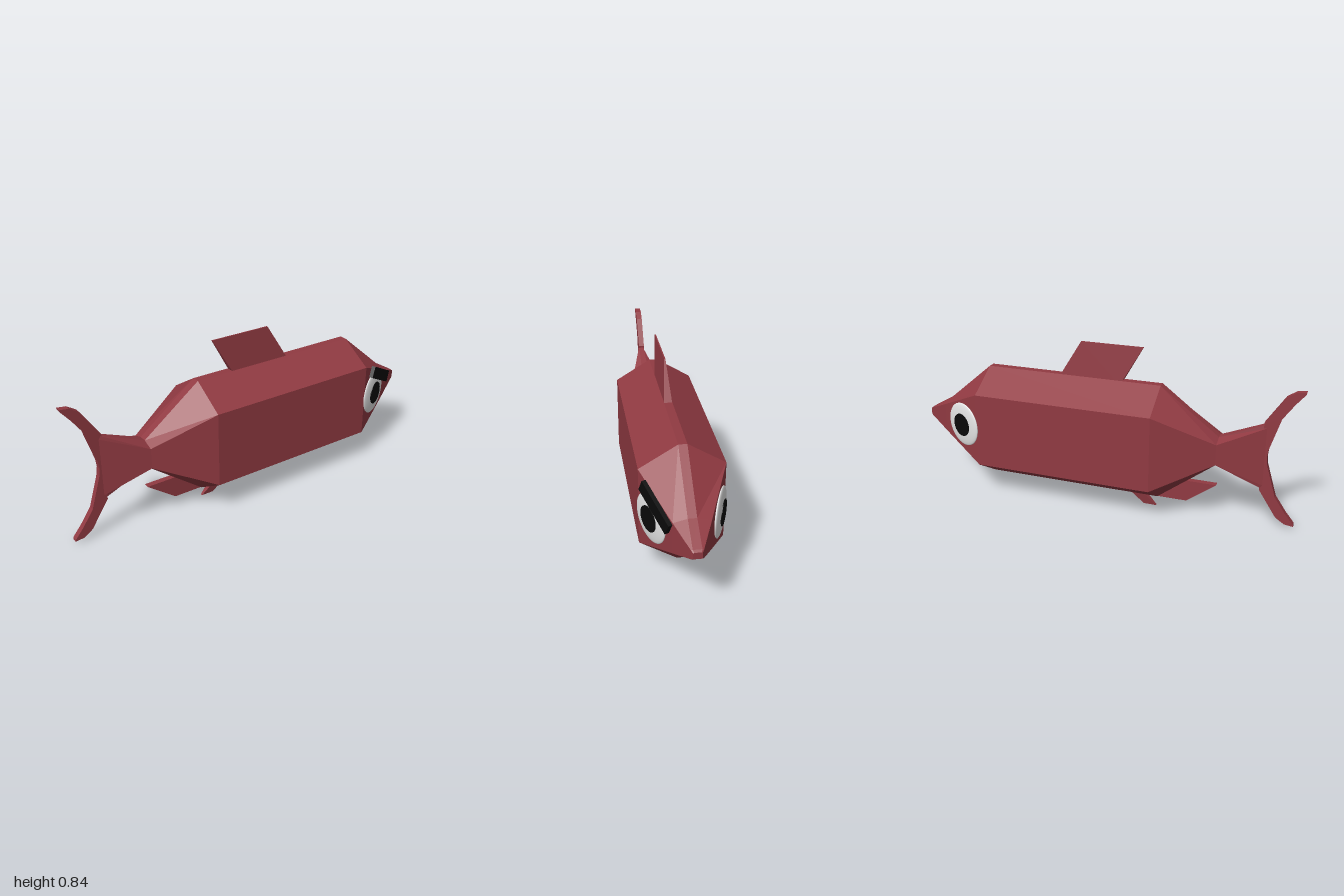
import * as THREE from 'three';

const red = new THREE.MeshStandardMaterial({ color: 0x913a42, flatShading: true });
red.name = 'red skin';
const white = new THREE.MeshStandardMaterial({ color: 0xe4e4e4 });
white.name = 'eye white';
const black = new THREE.MeshStandardMaterial({ color: 0x0a0a0a });
black.name = 'black';

function add(parent, name, geometry, material) {
  const mesh = new THREE.Mesh(geometry, material);
  mesh.name = name;
  parent.add(mesh);
  return mesh;
}

// Cross-sections: [x, top, upper side, lower side, bottom, half width, ridge half width]
const sections = [
  [-0.835, 0.53, 0.51, 0.21, 0.19, 0.015, 0.012],
  [-0.61, 0.435, 0.415, 0.31, 0.29, 0.078, 0.02],
  [-0.31, 0.662, 0.555, 0.167, 0.06, 0.195, 0.02],
  [0.62, 0.662, 0.555, 0.167, 0.06, 0.195, 0.02],
  [0.87, 0.452, 0.437, 0.283, 0.262, 0.083, 0.02],
  [0.99, 0.384, 0.382, 0.338, 0.336, 0.027, 0.02],
  [1.0, 0.376, 0.374, 0.346, 0.344, 0.02, 0.015],
];

// Lofts eight-sided rings along x
function loftBody() {
  const rings = sections.map(([x, top, up, low, bottom, w, r]) => [
    [x, top, r], [x, up, w], [x, low, w], [x, bottom, r],
    [x, bottom, -r], [x, low, -w], [x, up, -w], [x, top, -r],
  ]);
  const n = 8;
  const index = [];
  for (let i = 0; i < rings.length - 1; i++) {
    for (let j = 0; j < n; j++) {
      const a = i * n + j, b = i * n + (j + 1) % n;
      index.push(a, b, b + n, a, b + n, a + n);
    }
  }
  const last = (rings.length - 1) * n;
  for (let j = 1; j < n - 1; j++) {
    index.push(0, j + 1, j);
    index.push(last, last + j, last + j + 1);
  }
  const g = new THREE.BufferGeometry();
  g.setAttribute('position', new THREE.Float32BufferAttribute(rings.flat(2), 3));
  g.setIndex(index);
  const flat = g.toNonIndexed();
  flat.computeVertexNormals();
  return flat;
}

// Flat fin whose half thickness runs from t0 at height y0 to t1 at height y1
function fin(points, y0, t0, y1, t1) {
  const shape = new THREE.Shape(points.map(([x, y]) => new THREE.Vector2(x, y)));
  const g = new THREE.ExtrudeGeometry(shape, { depth: 2, bevelEnabled: false });
  g.translate(0, 0, -1);
  const p = g.attributes.position;
  for (let i = 0; i < p.count; i++) {
    p.setZ(i, p.getZ(i) * THREE.MathUtils.mapLinear(p.getY(i), y0, y1, t0, t1));
  }
  g.computeVertexNormals();
  return g;
}

function makeEye(side) {
  const eye = new THREE.Group();
  eye.name = side > 0 ? 'leftEye' : 'rightEye';
  const ball = new THREE.SphereGeometry(0.117, 40, 24);
  ball.scale(1, 1, 0.13);
  add(eye, 'eyeWhite', ball, white);
  const disc = new THREE.CylinderGeometry(0.061, 0.061, 0.006, 40);
  disc.rotateX(Math.PI / 2);
  add(eye, 'pupil', disc, black).position.z = side * 0.0135;
  eye.position.set(0.722, 0.368, side * 0.153);
  eye.rotation.y = side * 0.41;
  return eye;
}

export function createModel() {
  const fish = new THREE.Group();
  fish.name = 'fish';

  add(fish, 'body', loftBody(), red);

  // Forked tail, mirrored about its middle height
  const lobe = [
    [-0.82, 0.535], [-0.91, 0.672], [-0.955, 0.702], [-1, 0.708],
    [-0.998, 0.698], [-0.955, 0.645], [-0.9, 0.565], [-0.85, 0.40],
  ];
  const lower = lobe.map(([x, y]) => [x, 0.72 - y]).reverse();
  add(fish, 'tailFin', fin([...lobe, [-0.845, 0.36], ...lower], 0, 0.015, 1, 0.015), red);

  add(fish, 'dorsalFin',
    fin([[-0.1, 0.64], [0.23, 0.64], [0.11, 0.84], [-0.215, 0.84]], 0.64, 0.021, 0.84, 0.003), red);
  add(fish, 'analFin',
    fin([[-0.61, 0.172], [-0.46, 0.06], [-0.3, 0.06], [-0.3, 0.172]], 0, 0.015, 1, 0.015), red);
  add(fish, 'pelvicFin',
    fin([[-0.3, 0], [-0.235, 0], [-0.15, 0.08], [-0.22, 0.08]], 0, 0.006, 0.08, 0.022), red);

  fish.add(makeEye(1), makeEye(-1));

  // Slanted brow over the left eye only
  const brow = new THREE.Group();
  brow.name = 'brow';
  add(brow, 'browBar', new THREE.BoxGeometry(0.237, 0.063, 0.02), black).rotation.z = -0.46;
  brow.position.set(0.774, 0.459, 0.142);
  brow.rotation.y = 0.41;
  fish.add(brow);

  return fish;
}
